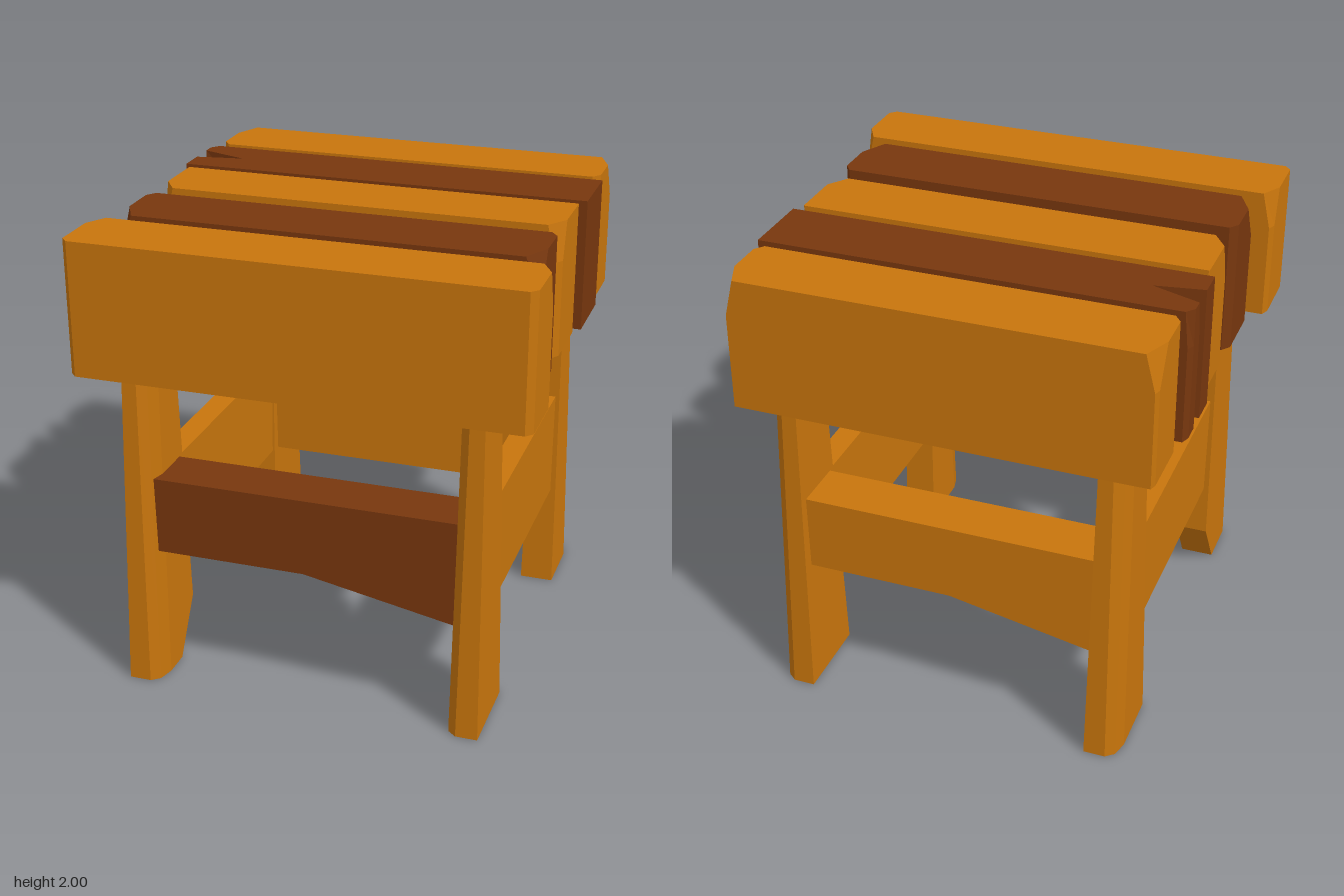
import * as THREE from 'three';

const orange = new THREE.MeshStandardMaterial({ color: 0xc8750c, flatShading: true });
const brown = new THREE.MeshStandardMaterial({ color: 0x78370e, flatShading: true });

// Solid through horizontal rings { y, pts: [[x, z], ...] }, listed bottom to top
function loft(name, rings, material) {
  const flat = rings.map(r => r.pts.map(p => new THREE.Vector2(p[0], p[1])));
  if (THREE.ShapeUtils.isClockWise(flat[0])) flat.forEach(f => f.reverse());
  const n = flat[0].length, last = rings.length - 1;
  const pos = [];
  const put = (i, j) => pos.push(flat[i][j].x, rings[i].y, flat[i][j].y);
  for (let i = 0; i < last; i++) {
    for (let j = 0; j < n; j++) {
      const k = (j + 1) % n;
      put(i, j); put(i + 1, j); put(i + 1, k);
      put(i, j); put(i + 1, k); put(i, k);
    }
  }
  for (const [a, b, c] of THREE.ShapeUtils.triangulateShape(flat[0], [])) {
    put(0, a); put(0, b); put(0, c);
  }
  for (const [a, b, c] of THREE.ShapeUtils.triangulateShape(flat[last], [])) {
    put(last, a); put(last, c); put(last, b);
  }
  const geo = new THREE.BufferGeometry();
  geo.setAttribute('position', new THREE.Float32BufferAttribute(pos, 3));
  geo.computeVertexNormals();
  const mesh = new THREE.Mesh(geo, material);
  mesh.name = name;
  return mesh;
}

// Rectangle in plan with its back and front corners cut by [dx, dz]
function cutRect(hx, z0, z1, [bx, bz], [fx, fz]) {
  const half = [[hx - bx, z0], [hx, z0 + bz], [hx, z1 - fz], [hx - fx, z1]];
  return [...half, ...half.map(([x, z]) => [-x, z]).reverse()];
}

const SEAT_LOW = 1.42, SEAT_CHIP = 1.84, SEAT_TOP = 2;

// Seat plank whose corners are cut deeper near the top
function plank(name, low, top, material) {
  return loft(name, [
    { y: SEAT_LOW, pts: low }, { y: SEAT_CHIP, pts: low }, { y: SEAT_TOP, pts: top },
  ], material);
}

// Tapered leg; front legs are bevelled inside, back legs outside
function leg(name, sx, sz, chipped) {
  const ring = (y, chip = 0) => {
    const t = y / SEAT_LOW;
    const mix = (a, b) => a + (b - a) * t;
    const inX = mix(0.635, 0.65), outX = mix(0.785, 0.768);
    const inZ = mix(0.515, 0.57) + chip, outZ = mix(0.895, 0.845);
    const bevelX = sz > 0 ? inX : outX, plainX = sz > 0 ? outX : inX;
    const d = sz > 0 ? 1 : -1;
    const pts = [
      [plainX, inZ], [plainX, outZ],
      [bevelX + d * 0.055, outZ], [bevelX + d * 0.018, outZ - 0.03], [bevelX, outZ - 0.1],
      [bevelX, inZ],
    ];
    return { y, pts: pts.map(([x, z]) => [x * sx, z * sz]) };
  };
  const rings = chipped
    ? [ring(0, 0.16), ring(0.24), ring(SEAT_LOW)]
    : [ring(0), ring(SEAT_LOW)];
  return loft(name, rings, orange);
}

// Cross rail with a hewn underside: outer lower edge is level, then drops to one end
function crossRail(name, material) {
  const stations = [[-0.675, 0.61], [0, 0.61], [0.67, 0.48]];
  const zi = 0.583, zo = 0.82, top = 0.95, low = 0.475;
  const sections = stations.map(([x, y]) => [[x, low, zi], [x, y, zo], [x, top, zo], [x, top, zi]]);
  const pos = [];
  const quad = (a, b, c, d) => pos.push(...a, ...b, ...c, ...a, ...c, ...d);
  for (let i = 0; i < 2; i++) {
    const s = sections[i], e = sections[i + 1];
    for (let j = 0; j < 4; j++) {
      const k = (j + 1) % 4;
      quad(s[j], e[j], e[k], s[k]);
    }
  }
  quad(...sections[0]);
  quad(...sections[2].slice().reverse());
  const geo = new THREE.BufferGeometry();
  geo.setAttribute('position', new THREE.Float32BufferAttribute(pos, 3));
  geo.computeVertexNormals();
  const mesh = new THREE.Mesh(geo, material);
  mesh.name = name;
  return mesh;
}

export function createModel() {
  const stool = new THREE.Group();
  stool.name = 'stool';

  // Seat planks: half length, back z, front z, then [back, front] cuts low and at the top
  const planks = [
    ['seatPlankBack', 0.893, -0.925, -0.603, [[0.01, 0.03], [0.03, 0.04]], [[0.05, 0.12], [0.03, 0.04]], orange],
    ['seatPlankMiddle', 0.887, -0.195, 0.128, [[0.004, 0.004], [0.025, 0.04]], [[0.004, 0.004], [0.06, 0.09]], orange],
    ['seatPlankInnerFront', 0.893, 0.215, 0.54, [[0.03, 0.04], [0.01, 0.03]], [[0.03, 0.04], [0.06, 0.12]], brown],
    ['seatPlankFront', 0.967, 0.597, 0.92, [[0.015, 0.04], [0.028, 0.03]], [[0.05, 0.09], [0.028, 0.03]], orange],
  ];
  for (const [name, hx, z0, z1, low, top, mat] of planks) {
    stool.add(plank(name, cutRect(hx, z0, z1, ...low), cutRect(hx, z0, z1, ...top), mat));
  }

  // Plank with a split end
  const split = (cornerX, tipZ) => [
    [0.915, -0.562], [0.915, -0.238], [-0.92, -0.238], [-0.92, -0.36],
    [-0.71, -0.395], [-0.92, tipZ], [-0.92, -0.525], [cornerX, -0.562],
  ];
  stool.add(plank('seatPlankSplit', split(-0.905, -0.445), split(-0.89, -0.47), brown));

  // Legs
  stool.add(leg('frontLegLeft', 1, 1), leg('frontLegRight', -1, 1, true));
  stool.add(leg('backLegLeft', 1, -1), leg('backLegRight', -1, -1));

  // Rails between the legs
  const backRail = crossRail('backRail', orange);
  backRail.rotation.y = Math.PI;
  stool.add(crossRail('frontRail', brown), backRail);
  for (const [name, side] of [['sideRailLeft', 1], ['sideRailRight', -1]]) {
    const rail = new THREE.Mesh(new THREE.BoxGeometry(0.105, 0.475, 1.16), orange);
    rail.name = name;
    rail.position.set(side * 0.703, 0.7125, 0);
    stool.add(rail);
  }
  return stool;
}
